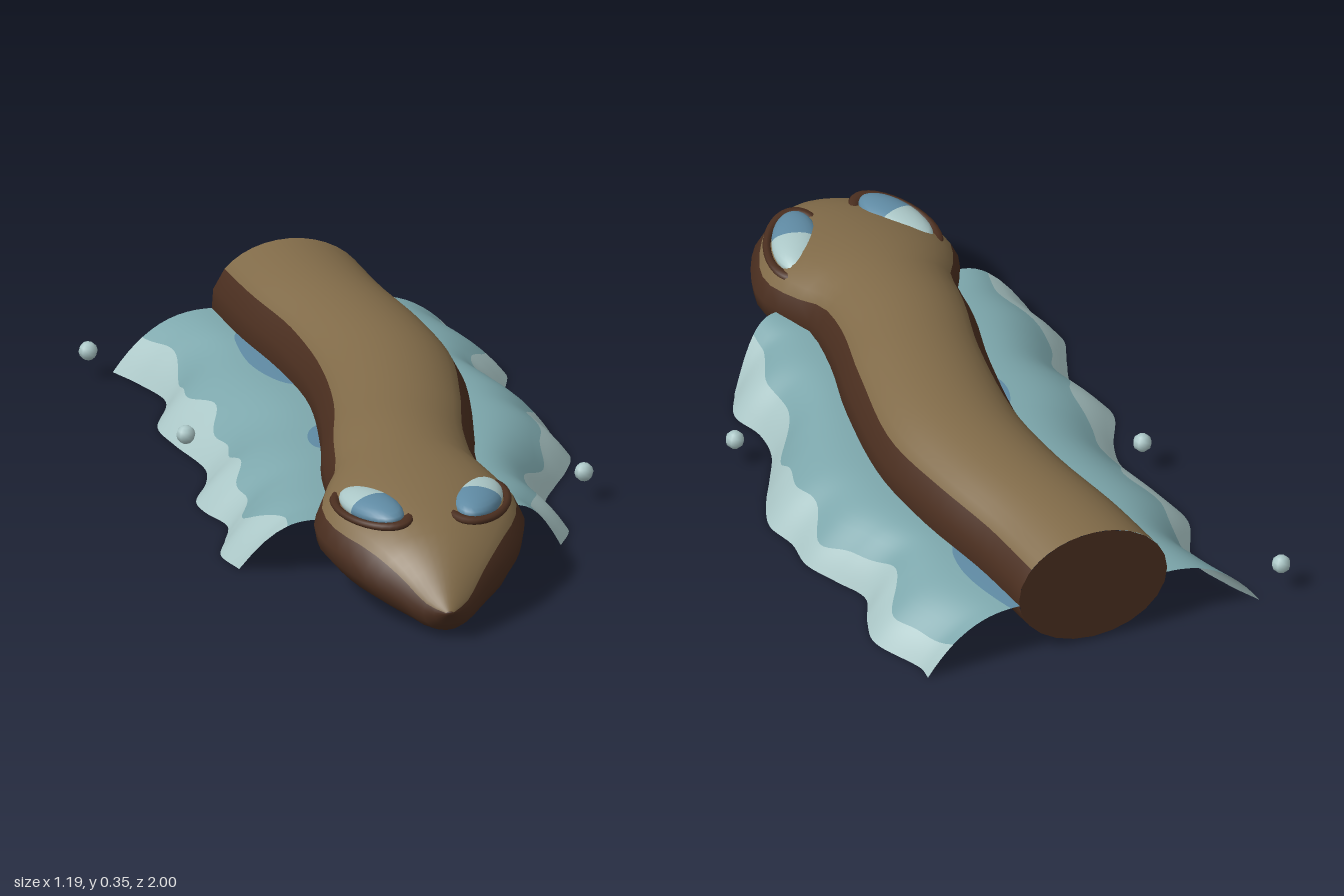
import * as THREE from 'three';

const mat = (name, color, side = THREE.FrontSide) => {
  const m = new THREE.MeshStandardMaterial({ color, side });
  m.name = name;
  return m;
};

// Smooth curve through [position, value] pairs
function spline(pts) {
  const n = pts.length;
  const slope = (i) => {
    const a = pts[Math.max(i - 1, 0)], b = pts[Math.min(i + 1, n - 1)];
    return (b[1] - a[1]) / (b[0] - a[0]);
  };
  return (p) => {
    let i = 0;
    while (i < n - 2 && p > pts[i + 1][0]) i++;
    const [x0, y0] = pts[i], [x1, y1] = pts[i + 1], h = x1 - x0;
    const t = Math.min(Math.max((p - x0) / h, 0), 1), t2 = t * t, t3 = t2 * t;
    return (2 * t3 - 3 * t2 + 1) * y0 + (t3 - 2 * t2 + t) * h * slope(i)
      + (3 * t2 - 2 * t3) * y1 + (t3 - t2) * h * slope(i + 1);
  };
}

// Body outline along z
const centreX = spline([[-1, -0.02], [-0.8, 0.015], [-0.55, 0.075], [-0.3, 0.107], [0, 0.082], [0.2, 0.045], [0.38, 0.032], [0.6, 0.033], [1, 0.033]]);
const halfWidth = spline([[-1, 0.213], [0.3, 0.211], [0.38, 0.217], [0.45, 0.25], [0.55, 0.283], [0.65, 0.27], [0.8, 0.207], [0.9, 0.125], [0.96, 0.065], [1, 0.012]]);
const topY = spline([[-1, 0.35], [0.2, 0.35], [0.4, 0.335], [0.6, 0.305], [0.8, 0.248], [0.9, 0.187], [0.96, 0.13], [1, 0.088]]);
const bottomY = spline([[-1, 0.01], [0.3, 0.011], [0.9, 0.014], [0.96, 0.018], [1, 0.076]]);
// Height of the colour line, as a share of the section's upper half
const colourLine = spline([[-1, 0.56], [-0.6, 0.58], [-0.3, 0.54], [0, 0.58], [0.3, 0.52], [0.45, 0.38], [0.65, 0.36], [0.8, 0.5], [0.9, 0.5], [1, 0.4]]);

// Triangles of a grid's columns j0..j1; column ids wrap at `cols`
function gridIndex(out, rows, cols, j0, j1) {
  for (let i = 0; i < rows; i++) for (let j = j0; j < j1; j++) {
    const a = i * cols + j, b = i * cols + (j + 1) % cols;
    out.push(a, b, b + cols, a, b + cols, a + cols);
  }
}

function bodyGeometry() {
  const half = 12, cols = 2 * half, pos = [], idx = [];
  const zs = [];
  for (let i = 0; i < 34; i++) zs.push(-1 + i * 0.055);
  zs.push(0.85, 0.88, 0.91, 0.935, 0.96, 0.98, 1);
  for (const z of zs) {
    const top = topY(z), bot = bottomY(z), cy = (top + bot) / 2, h = (top - bot) / 2;
    const power = 1 + 0.15 * THREE.MathUtils.smoothstep(z, 0.4, 0.6);
    const a = Math.asin(Math.pow(colourLine(z), 1 / power));
    for (let j = 0; j < cols; j++) {
      const t = j < half ? a + (Math.PI - 2 * a) * j / half
        : Math.PI - a + (Math.PI + 2 * a) * (j - half) / half;
      const s = Math.sin(t);
      pos.push(centreX(z) + halfWidth(z) * Math.cos(t), cy + h * (s > 0 ? Math.pow(s, power) : s), z);
    }
  }
  const rows = zs.length - 1;
  gridIndex(idx, rows, cols, 0, half);
  const split = idx.length;
  gridIndex(idx, rows, cols, half, cols);
  const last = rows * cols;
  for (let j = 1; j < cols - 1; j++) idx.push(last, last + j, last + j + 1); // snout tip
  const g = new THREE.BufferGeometry();
  g.setAttribute('position', new THREE.Float32BufferAttribute(pos, 3));
  g.setIndex(idx);
  g.addGroup(0, split, 0);
  g.addGroup(split, idx.length - split, 1);
  g.computeVertexNormals();
  return g;
}

// Strip of a drooping fin between the width shares from(z) and to(z)
function finStrip(side, edge, from, to, cols) {
  const rows = 90, pos = [], idx = [];
  for (let i = 0; i <= rows; i++) {
    const v = i / rows, z0 = -1 + 1.49 * v;
    for (let j = 0; j <= cols; j++) {
      const u = THREE.MathUtils.lerp(from(z0), to(z0), j / cols);
      const z = -1 + v * (1.49 - 0.09 * u * u);
      const inner = centreX(z) + side * halfWidth(z) * 0.96;
      pos.push(THREE.MathUtils.lerp(inner, edge(z), u), 0.165 * (1 - Math.pow(u, 2.5)), z);
    }
  }
  gridIndex(idx, rows, cols + 1, 0, cols);
  const g = new THREE.BufferGeometry();
  g.setAttribute('position', new THREE.Float32BufferAttribute(pos, 3));
  g.setIndex(idx);
  g.computeVertexNormals();
  return g;
}

export function createModel() {
  const model = new THREE.Group();
  const tan = mat('tan', 0x806a48), brown = mat('darkBrown', 0x4a2e1f);
  const pale = mat('paleAqua', 0xaac6c6), blue = mat('eyeBlue', 0x5f8aa3);
  const finTeal = mat('finTeal', 0x7ca6ab, THREE.DoubleSide);
  const finPale = mat('finPale', 0xaac6c6, THREE.DoubleSide);
  const finBlue = mat('finBlue', 0x5f8aa3, THREE.DoubleSide);
  const add = (parent, name, geometry, material) => {
    const m = new THREE.Mesh(geometry, material);
    m.name = name;
    parent.add(m);
    return m;
  };

  // Body with head, and its flat cut end
  add(model, 'body', bodyGeometry(), [tan, brown]);
  const cap = add(model, 'bodyEnd', new THREE.CircleGeometry(1, 24), brown);
  cap.rotation.y = Math.PI;
  cap.scale.set(0.213, 0.17, 1);
  cap.position.set(-0.02, 0.18, -1);

  // Frilled fins: outer edge and patches beside the body [z, half length, width]
  const fins = [
    { name: 'rightFin', side: -1, patches: [[-0.63, 0.19, 0.2], [-0.07, 0.08, 0.11]],
      edge: spline([[-1, -0.5], [-0.9, -0.445], [-0.77, -0.4], [-0.6, -0.455], [-0.48, -0.435], [-0.3, -0.385], [-0.2, -0.4], [-0.08, -0.45], [0, -0.44], [0.1, -0.4], [0.2, -0.425], [0.3, -0.455], [0.4, -0.425]]) },
    { name: 'leftFin', side: 1, patches: [[-0.86, 0.18, 0.18]],
      edge: spline([[-1, 0.455], [-0.95, 0.457], [-0.8, 0.527], [-0.7, 0.51], [-0.6, 0.475], [-0.5, 0.52], [-0.4, 0.565], [-0.3, 0.565], [-0.2, 0.59], [-0.1, 0.56], [0, 0.51], [0.1, 0.465], [0.2, 0.46], [0.3, 0.49], [0.4, 0.45]]) },
  ];
  for (const { name, side, patches, edge } of fins) {
    const fin = new THREE.Group();
    fin.name = name;
    model.add(fin);
    const blueTo = (z) => Math.max(0.01, ...patches.map(([c, l, w]) => w * Math.sqrt(Math.max(0, 1 - ((z - c) / l) ** 2))));
    const paleFrom = (z) => 0.75 + 0.08 * Math.sin(z * 14 + side) + 0.03 * Math.sin(z * 31)
      - 0.3 * THREE.MathUtils.smoothstep(z, 0.3, 0.49);
    add(fin, name + 'Patch', finStrip(side, edge, () => 0, blueTo, 2), finBlue);
    add(fin, name + 'Web', finStrip(side, edge, blueTo, paleFrom, 8), finTeal);
    add(fin, name + 'Fringe', finStrip(side, edge, paleFrom, () => 1, 4), finPale);
  }

  // Eyes: a two-coloured lens in a flat brown rim
  for (const side of [-1, 1]) {
    const eye = new THREE.Group();
    eye.name = side > 0 ? 'leftEye' : 'rightEye';
    eye.position.set(0.033 + side * 0.145, 0.259, 0.645);
    eye.rotation.set(0, -side * 0.35, -side * 0.07, 'ZYX');
    model.add(eye);
    const rim = add(eye, 'eyeRim', new THREE.TorusGeometry(1, 0.14, 8, 32).rotateX(Math.PI / 2), brown);
    rim.scale.set(0.077, 0.07, 0.144);
    rim.position.y = -0.008;
    const front = add(eye, 'eyeFront', new THREE.SphereGeometry(1, 14, 12, 0, Math.PI), blue);
    const back = add(eye, 'eyeBack', new THREE.SphereGeometry(1, 14, 12, Math.PI, Math.PI), pale);
    for (const half of [front, back]) half.scale.set(0.064, 0.034, 0.133);
  }

  // Floating bubbles
  for (const p of [[-0.573, 0.08, -0.97], [-0.43, 0.09, -0.33], [0.57, 0.08, 0.1]]) {
    add(model, 'bubble', new THREE.SphereGeometry(0.026, 8, 6), pale).position.set(...p);
  }
  return model;
}
